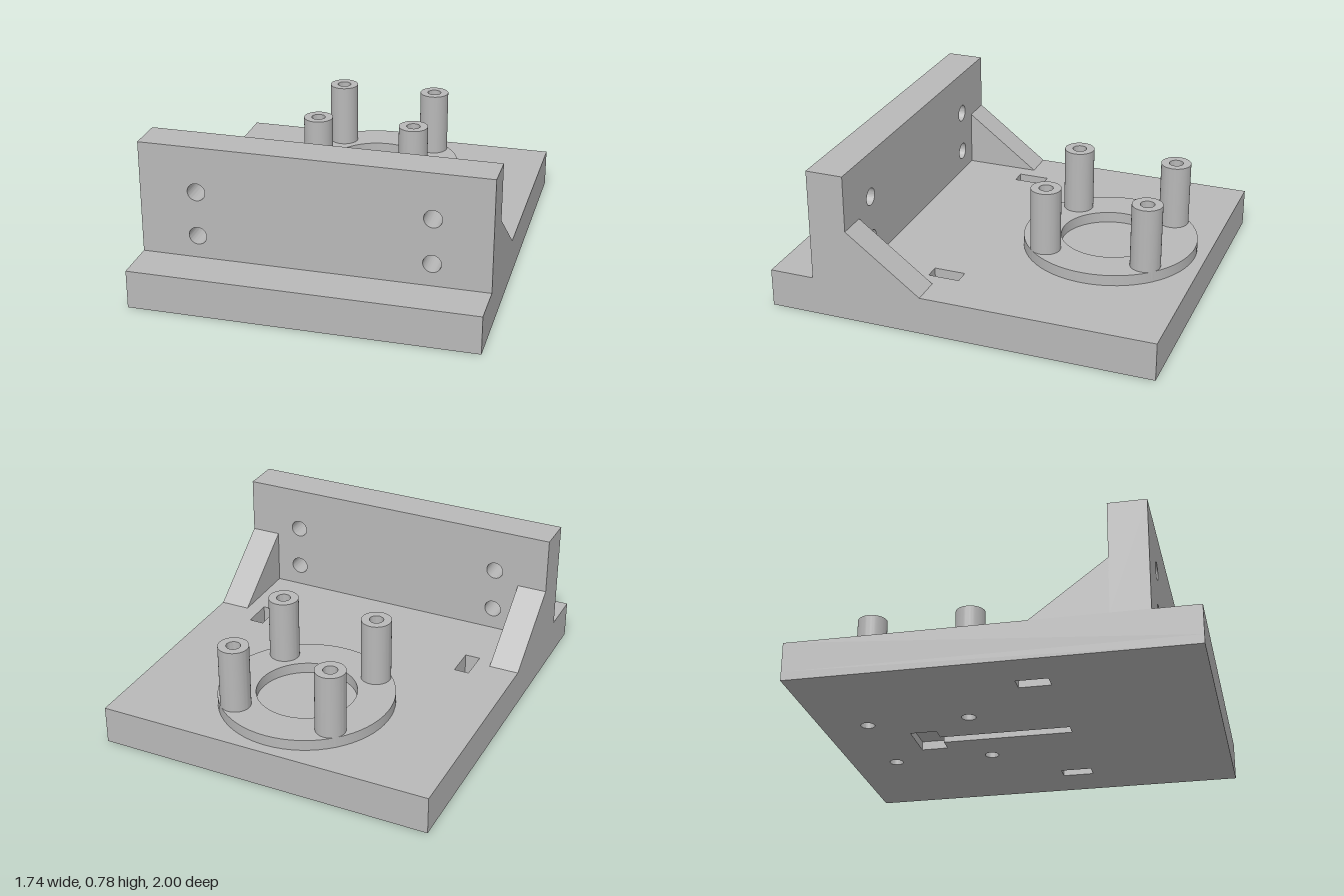
import * as THREE from 'three';
import { toCreasedNormals } from 'three/addons/utils/BufferGeometryUtils.js';

const HALF_W = 0.872;
const BASE_H = 0.197;
const RECESS = 0.045;
const FLANGE_Z = -0.497;
const BORE_R = 0.036;
const POSTS = [-1, 1].flatMap((x) => [-1, 1].map((z) => [x * 0.26, FLANGE_Z + z * 0.262]));

const polygon = (Type, pts) => new Type(pts.map(([x, y]) => new THREE.Vector2(x, y)));
const rect = (Type, x0, y0, x1, y1) => polygon(Type, [[x0, y0], [x1, y0], [x1, y1], [x0, y1]]);
const circle = (Type, x, y, r) => new Type().absarc(x, y, r, 0, Math.PI * 2, false);

function extrude(shape, depth) {
  const geo = new THREE.ExtrudeGeometry(shape, { depth, bevelEnabled: false, curveSegments: 32 });
  return toCreasedNormals(geo, 0.6);
}

// Horizontal plate: shapes are drawn in (x, -z) and raised from y0 to y1
function plate(shape, y0, y1) {
  return extrude(shape, y1 - y0).rotateX(-Math.PI / 2).translate(0, y0, 0);
}

export function createModel() {
  const model = new THREE.Group();
  model.name = 'mountingBracket';
  const grey = new THREE.MeshStandardMaterial({ color: 0xb8b8b8 });
  grey.name = 'grey';

  const add = (name, geometry) => {
    const mesh = new THREE.Mesh(geometry, grey);
    mesh.name = name;
    model.add(mesh);
    return mesh;
  };

  // Base outline with four bores and two rectangular slots
  const baseShape = () => {
    const s = rect(THREE.Shape, -HALF_W, -1, HALF_W, 1);
    for (const [x, z] of POSTS) s.holes.push(circle(THREE.Path, x, -z, BORE_R));
    for (const side of [-1, 1]) {
      const x = side * 0.602;
      s.holes.push(rect(THREE.Path, x - 0.039, -0.243, x + 0.039, -0.082));
    }
    return s;
  };

  // Lower layer carries the T-shaped blind recess in the underside
  const lower = baseShape();
  lower.holes.push(polygon(THREE.Path, [
    [-0.035, -0.236], [0.035, -0.236], [0.035, 0.44], [0.115, 0.44],
    [0.115, 0.577], [-0.115, 0.577], [-0.115, 0.44], [-0.035, 0.44],
  ]));
  add('baseLower', plate(lower, 0, RECESS));
  add('baseUpper', plate(baseShape(), RECESS, BASE_H));

  // Upright wall with four through holes
  const wall = rect(THREE.Shape, -HALF_W, BASE_H, HALF_W, 0.778);
  for (const x of [-0.583, 0.583]) {
    for (const y of [0.313, 0.545]) wall.holes.push(circle(THREE.Path, x, y, 0.045));
  }
  add('wall', extrude(wall, 0.193).translate(0, 0, 0.574));

  // Sloping gussets: profile drawn in (-z, y), extruded along x
  const gusset = polygon(THREE.Shape, [[-0.576, BASE_H], [-0.19, BASE_H], [-0.576, 0.487]]);
  for (const [name, x] of [['leftGusset', 0.717], ['rightGusset', -HALF_W]]) {
    add(name, extrude(gusset, HALF_W - 0.717).rotateY(Math.PI / 2).translate(x, 0, 0));
  }

  // Raised ring flange
  const ring = circle(THREE.Shape, 0, -FLANGE_Z, 0.446);
  ring.holes.push(circle(THREE.Path, 0, -FLANGE_Z, 0.254));
  for (const [x, z] of POSTS) ring.holes.push(circle(THREE.Path, x, -z, BORE_R));
  add('flange', plate(ring, BASE_H, 0.253));

  // Hollow standoff posts
  const post = circle(THREE.Shape, 0, 0, 0.077);
  post.holes.push(circle(THREE.Path, 0, 0, BORE_R));
  const postGeometry = plate(post, BASE_H, 0.587);
  for (const [x, z] of POSTS) add('post', postGeometry).position.set(x, 0, z);

  return model;
}
